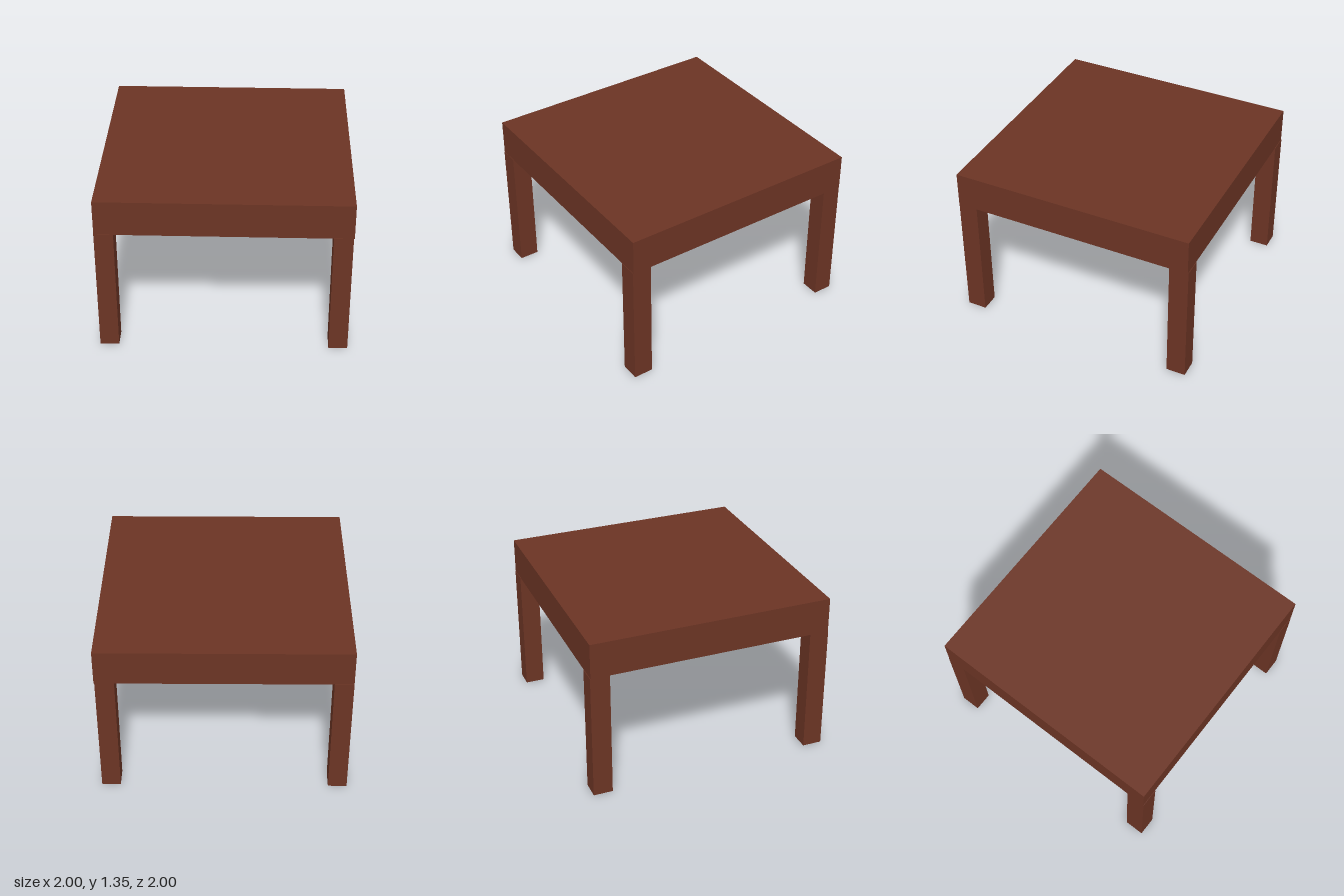
import * as THREE from 'three';

export function createModel() {
  const group = new THREE.Group();
  const wood = new THREE.MeshStandardMaterial({ color: 0x6b3424 });
  wood.name = 'brown wood';

  // box given by its minimum and maximum corners
  function addBox(name, [x0, y0, z0], [x1, y1, z1]) {
    const mesh = new THREE.Mesh(new THREE.BoxGeometry(x1 - x0, y1 - y0, z1 - z0), wood);
    mesh.position.set((x0 + x1) / 2, (y0 + y1) / 2, (z0 + z1) / 2);
    mesh.name = name;
    group.add(mesh);
  }

  // thick solid top
  addBox('tableTop', [-1, 1.055, -0.996], [1, 1.345, 0.996]);

  // square legs; the back right one is a touch longer
  const legTop = 1.056;
  for (const [side, x0, x1] of [['Right', -1, -0.848], ['Left', 0.842, 0.994]]) {
    for (const [end, z0, z1] of [['front', 0.84, 0.999], ['back', -1, -0.842]]) {
      const foot = side === 'Right' && end === 'back' ? 0 : 0.008;
      addBox(`${end}${side}Leg`, [x0, foot, z0], [x1, legTop, z1]);
    }
  }

  return group;
}
